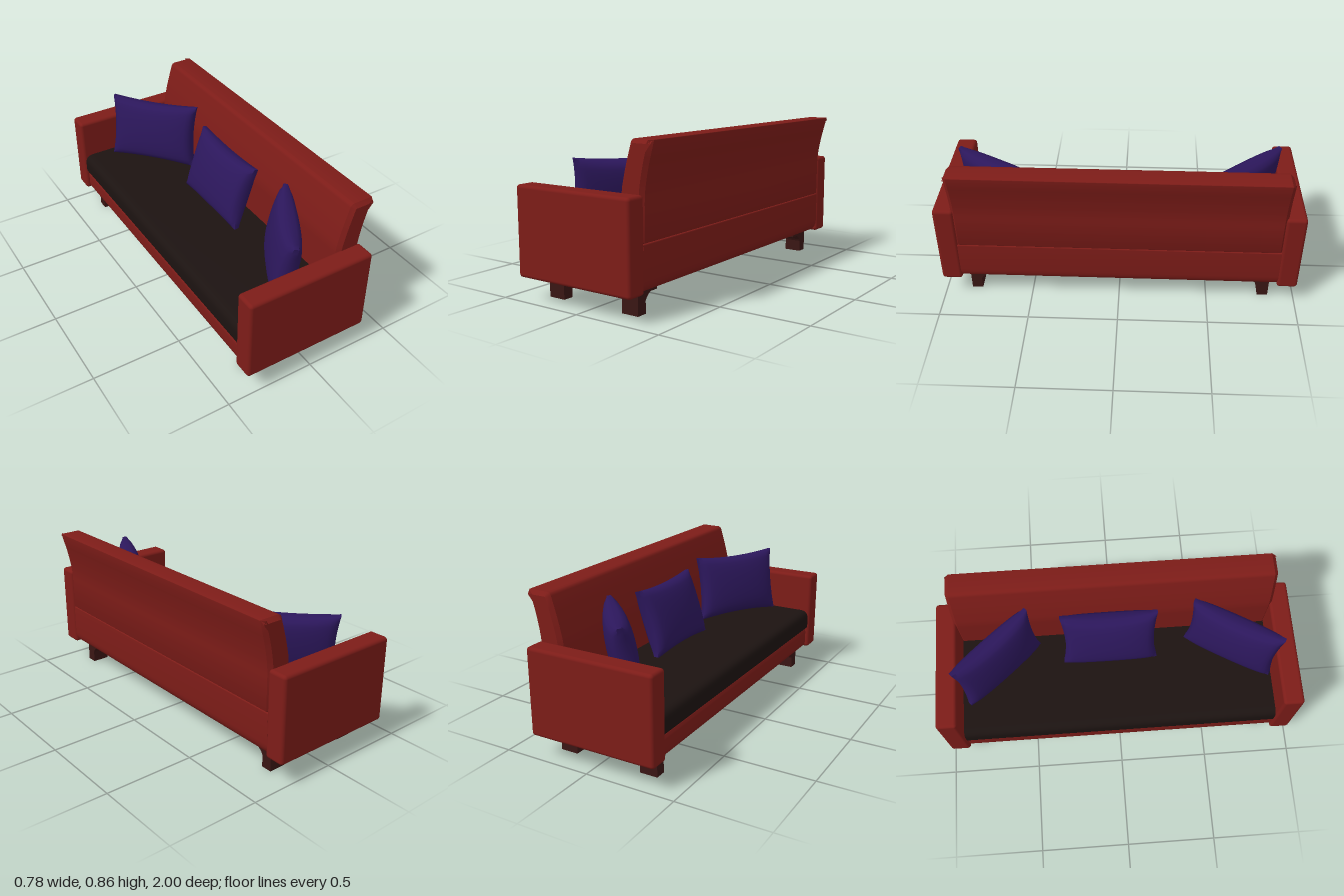
import * as THREE from 'three';
import { toCreasedNormals } from 'three/addons/utils/BufferGeometryUtils.js';
import { RoundedBoxGeometry } from 'three/addons/geometries/RoundedBoxGeometry.js';

const red = new THREE.MeshStandardMaterial({ color: 0x7d1c18 });
const dark = new THREE.MeshStandardMaterial({ color: 0x1c1311 });
const purple = new THREE.MeshStandardMaterial({ color: 0x2c175c });
const wood = new THREE.MeshStandardMaterial({ color: 0x3a1614 });

function addMesh(parent, name, geometry, material) {
  const mesh = new THREE.Mesh(geometry, material);
  mesh.name = name;
  parent.add(mesh);
  return mesh;
}

// Closed outline from [x, y, cornerRadius] points
function roundedShape(points) {
  const shape = new THREE.Shape();
  const n = points.length;
  points.forEach(([x, y, r], i) => {
    const p = new THREE.Vector2(x, y);
    const toward = (q) => new THREE.Vector2(q[0], q[1]).sub(p).setLength(r).add(p);
    const a = toward(points[(i + n - 1) % n]);
    const b = toward(points[(i + 1) % n]);
    if (i === 0) shape.moveTo(a.x, a.y);
    else shape.lineTo(a.x, a.y);
    if (r > 0) shape.quadraticCurveTo(x, y, b.x, b.y);
  });
  shape.closePath();
  return shape;
}

// Side profile extruded along z, centred, with optional chamfered ends
function extrudeZ(points, length, bevel = 0) {
  const depth = length - 2 * bevel;
  const geometry = new THREE.ExtrudeGeometry(roundedShape(points), {
    depth, curveSegments: 6, bevelEnabled: bevel > 0, bevelSegments: 1,
    bevelSize: bevel, bevelThickness: bevel, bevelOffset: -bevel,
  });
  geometry.translate(0, 0, -depth / 2);
  return toCreasedNormals(geometry, 0.6);
}

// Cushion with pinched corners, facing -x
function pillowGeometry(height, width, thickness) {
  const geometry = new THREE.BoxGeometry(2, 2, 2, 1, 18, 22);
  const pos = geometry.attributes.position;
  for (let i = 0; i < pos.count; i++) {
    const side = Math.sign(pos.getX(i));
    const v = pos.getY(i), u = pos.getZ(i);
    const puff = Math.pow(Math.max(0, (1 - u * u) * (1 - v * v)), 0.45);
    const rim = 0.012 + 0.012 * (1 - Math.max(u * u * v * v, 0));
    pos.setXYZ(i,
      side * (rim + (thickness / 2 - rim) * puff),
      v * (height / 2) * (1 - 0.1 * (1 - u * u) * v * v),
      u * (width / 2) * (1 - 0.08 * (1 - v * v) * u * u));
  }
  return toCreasedNormals(geometry, 1.0);
}

export function createModel() {
  const sofa = new THREE.Group();
  sofa.name = 'sofa';

  // Frame under the seat, rising behind it to the seam
  addMesh(sofa, 'base', extrudeZ([
    [-0.37, 0.125, 0.035], [0.33, 0.125, 0.07], [0.33, 0.368, 0.006],
    [0.22, 0.368, 0], [0.22, 0.255, 0], [-0.37, 0.255, 0.035],
  ], 1.78), red);

  // Seat cushion
  addMesh(sofa, 'seat', extrudeZ([
    [-0.38, 0.25, 0.02], [0.23, 0.25, 0], [0.23, 0.37, 0], [-0.38, 0.37, 0.05],
  ], 1.78), dark);

  // Backrest leaning outwards at the top
  addMesh(sofa, 'backrest', extrudeZ([
    [0.195, 0.34, 0], [0.332, 0.372, 0.004], [0.334, 0.61, 0.05], [0.355, 0.725, 0.05],
    [0.392, 0.858, 0.006], [0.262, 0.858, 0.02], [0.222, 0.725, 0.04], [0.195, 0.61, 0.04],
  ], 1.8, 0.02), red);

  // Arms
  for (const s of [-1, 1]) {
    const arm = addMesh(sofa, s > 0 ? 'frontArm' : 'rearArm',
      new RoundedBoxGeometry(0.728, 0.476, 0.114, 3, 0.018), red);
    arm.position.set(-0.028, 0.364, s * 0.943);
  }

  // Legs with an inward bracket
  const legShape = new THREE.Shape();
  legShape.moveTo(0.855, 0);
  legShape.lineTo(0.855, 0.13);
  legShape.lineTo(0.705, 0.13);
  legShape.lineTo(0.705, 0.105);
  legShape.lineTo(0.755, 0.105);
  legShape.quadraticCurveTo(0.785, 0.09, 0.795, 0.065);
  legShape.lineTo(0.795, 0);
  legShape.closePath();
  const legGeometry = new THREE.ExtrudeGeometry(legShape, {
    depth: 0.1, bevelEnabled: false, curveSegments: 4,
  });
  legGeometry.translate(0, 0, -0.05);
  for (const x of [-0.27, 0.215]) {
    for (const s of [-1, 1]) {
      const leg = addMesh(sofa, 'leg', legGeometry, wood);
      leg.position.x = x;
      leg.rotation.y = -s * Math.PI / 2;
    }
  }

  // Loose pillows: [x, y, z, turn, lean]
  const pillow = pillowGeometry(0.385, 0.54, 0.15);
  [
    [0.005, 0.557, -0.665, 0.71, -0.17],
    [0.09, 0.545, -0.03, 0, -0.32],
    [0.03, 0.555, 0.662, -0.53, -0.17],
  ].forEach(([x, y, z, turn, lean]) => {
    const mesh = addMesh(sofa, 'pillow', pillow, purple);
    mesh.position.set(x, y, z);
    mesh.rotation.set(0, turn, lean, 'YXZ');
  });

  return sofa;
}
